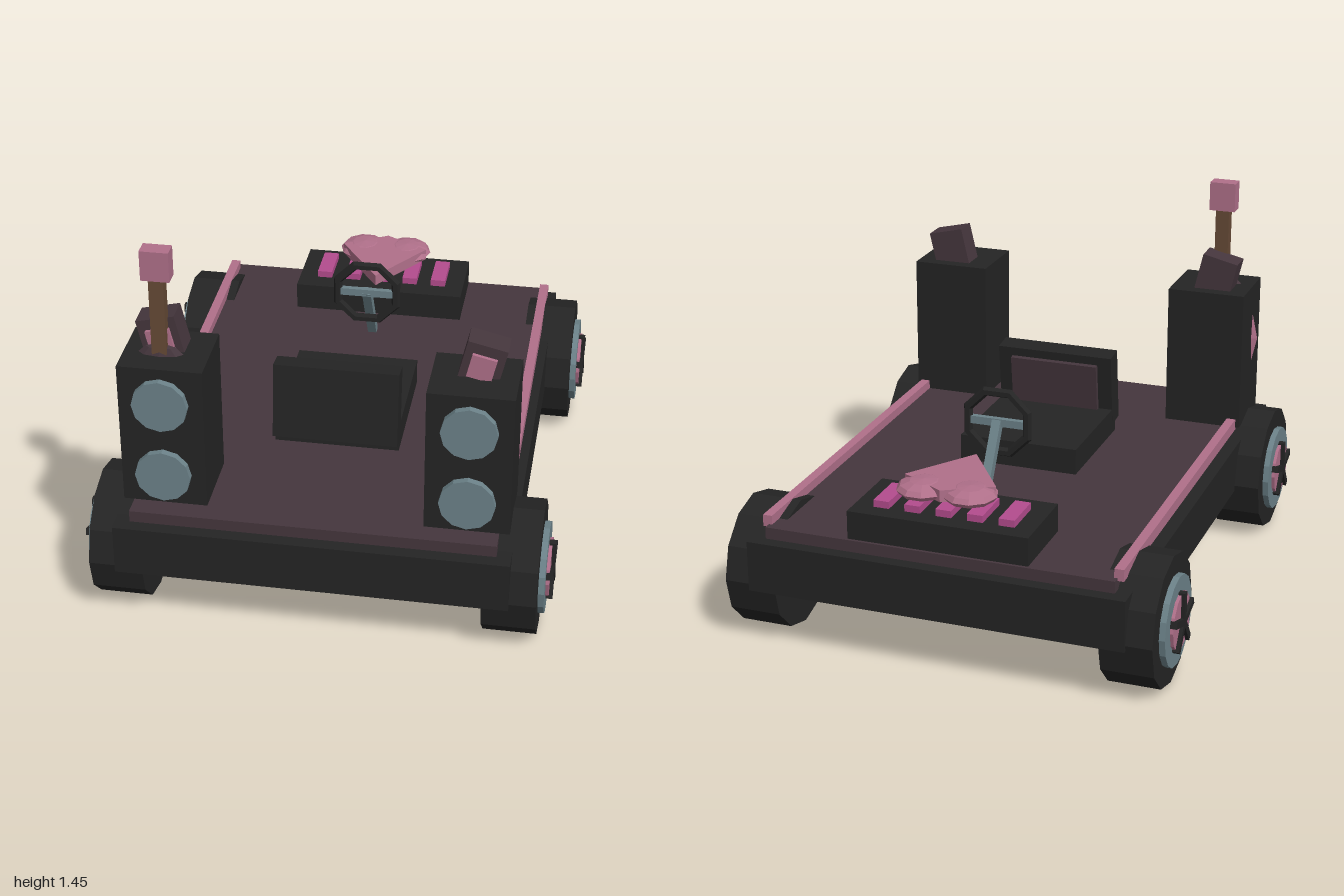
import * as THREE from 'three';

const mat = (name, color) => {
  const m = new THREE.MeshStandardMaterial({ color });
  m.name = name;
  m.flatShading = true;
  return m;
};

export function createModel() {
  const black = mat('black', 0x242424);
  const plum = mat('dark plum', 0x45363d);
  const pink = mat('dusty pink', 0xb0708a);
  const teal = mat('grey teal', 0x6c8289);
  const magenta = mat('magenta', 0xb44c8e);
  const brown = mat('wood brown', 0x664a36);

  const model = new THREE.Group();
  model.name = 'stageKart';

  const add = (parent, name, geo, material, x = 0, y = 0, z = 0) => {
    const m = new THREE.Mesh(geo, material);
    m.name = name;
    m.position.set(x, y, z);
    parent.add(m);
    return m;
  };
  const group = (name, x = 0, y = 0, z = 0) => {
    const g = new THREE.Group();
    g.name = name;
    g.position.set(x, y, z);
    model.add(g);
    return g;
  };
  // box from its minimum and maximum corners
  const span = (name, material, [x0, y0, z0], [x1, y1, z1], parent = model) =>
    add(parent, name, new THREE.BoxGeometry(x1 - x0, y1 - y0, z1 - z0), material,
      (x0 + x1) / 2, (y0 + y1) / 2, (z0 + z1) / 2);
  // disc with its axis along x
  const disc = (r, w, n) => new THREE.CylinderGeometry(r, r, w, n).rotateZ(Math.PI / 2);

  // chassis and deck
  span('chassis', black, [-0.72, 0.225, -1], [0.72, 0.42, 1]);
  span('deck', plum, [-0.667, 0.42, -0.95], [0.667, 0.465, 0.95]);

  for (const s of [-1, 1]) {
    // side rail
    add(model, 'rail', new THREE.BoxGeometry(0.036, 0.045, 1.52), pink, s * 0.672, 0.477, -0.16);

    // wheels with hub and five spokes
    for (const z of [-0.745, 0.745]) {
      const wheel = group('wheel', 0, 0.248, z);
      add(wheel, 'tyre', disc(0.248, 0.197, 12), black, s * 0.719);
      add(wheel, 'rim', disc(0.17, 0.04, 16), teal, s * 0.82);
      add(wheel, 'hub', disc(0.11, 0.03, 12), pink, s * 0.837);
      for (let i = 0; i < 5; i++) {
        const spoke = new THREE.BoxGeometry(0.025, 0.115, 0.026)
          .translate(0, 0.057, 0).rotateX(i * Math.PI * 2 / 5);
        add(wheel, 'spoke', spoke, black, s * 0.853);
      }
    }

    // speaker tower with two cones
    const speaker = group('speaker', s * 0.55, 0, 0.73);
    span('cabinet', black, [-0.155, 0.465, -0.14], [0.155, 1.025, 0.14], speaker);
    for (const y of [0.59, 0.885]) {
      add(speaker, 'speakerCone', new THREE.CylinderGeometry(0.102, 0.102, 0.04, 12).rotateX(Math.PI / 2),
        teal, 0, y, 0.146);
    }

    // tilted lamp on the tower
    const lamp = group('lamp', s * 0.575, 1.08, 0.69);
    lamp.rotation.z = -s * 0.23;
    add(lamp, 'lampHousing', new THREE.BoxGeometry(0.145, 0.15, 0.1), plum);
    add(lamp, 'lampLens', new THREE.BoxGeometry(0.09, 0.09, 0.03), pink, 0, -0.01, 0.05);
  }

  // guitar set into the right tower
  const guitar = group('guitar', -0.57, 0, 0.755);
  add(guitar, 'guitarBody', new THREE.SphereGeometry(1, 8, 6).scale(0.158, 0.19, 0.032), pink, 0, 0.8);
  add(guitar, 'guitarShoulder', new THREE.SphereGeometry(1, 8, 6).scale(0.11, 0.11, 0.038), plum, 0, 0.957);
  span('guitarNeck', brown, [-0.027, 0.9, -0.023], [0.027, 1.34, 0.023], guitar);
  span('guitarHead', pink, [-0.052, 1.33, -0.031], [0.052, 1.445, 0.031], guitar);

  // seat with reclined back
  span('seatBase', black, [-0.237, 0.465, -0.1], [0.237, 0.567, 0.4]);
  const back = group('seatBack', 0, 0.652, 0.387);
  back.rotation.x = -0.125;
  add(back, 'backrest', new THREE.BoxGeometry(0.475, 0.295, 0.083), black);
  add(back, 'backCushion', new THREE.BoxGeometry(0.36, 0.215, 0.024), plum, 0, 0.005, -0.05);

  // steering wheel and column
  const steering = group('steering', 0, 0.733, -0.318);
  add(steering, 'steeringWheel', new THREE.TorusGeometry(0.127, 0.019, 6, 8).rotateZ(Math.PI / 8), black);
  add(steering, 'steeringBar', new THREE.BoxGeometry(0.22, 0.03, 0.022), teal);
  const column = add(steering, 'steeringColumn', new THREE.BoxGeometry(0.035, 0.32, 0.035), teal, 0, -0.133, -0.083);
  column.rotation.x = 0.535;

  // keyboard
  span('keyboard', black, [-0.345, 0.465, -0.938], [0.345, 0.573, -0.62]);
  for (let i = -2; i <= 2; i++) {
    span('key', magenta, [i * 0.12 - 0.03, 0.565, -0.87], [i * 0.12 + 0.03, 0.6, -0.7]);
  }

  // floating heart above the keyboard: two flat lobes and a pointed wedge
  const heart = group('heart', 0, 0.66, -0.83);
  for (const s of [-1, 1]) {
    add(heart, 'heartLobe', new THREE.SphereGeometry(1, 10, 6).scale(0.1, 0.034, 0.105), pink, s * 0.09);
  }
  const wedge = new THREE.Shape([[0, -0.29], [0.175, -0.03], [0, 0.07], [-0.175, -0.03]]
    .map(([x, y]) => new THREE.Vector2(x, y)));
  add(heart, 'heartPoint', new THREE.ExtrudeGeometry(wedge, { depth: 0.045, bevelEnabled: false })
    .rotateX(-Math.PI / 2), pink, 0, -0.017);

  return model;
}
